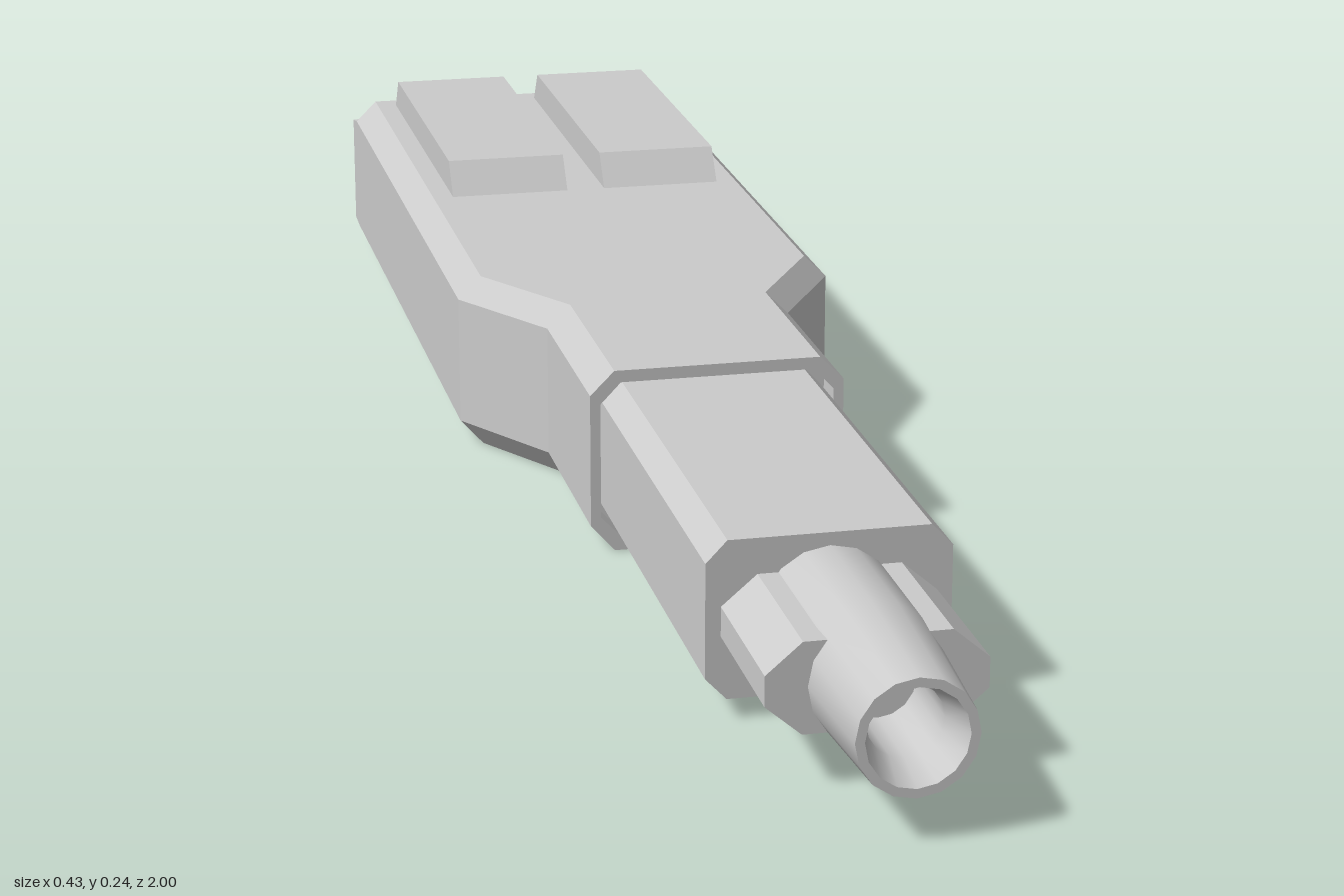
import * as THREE from 'three';
import { toCreasedNormals } from 'three/addons/utils/BufferGeometryUtils.js';

const flat = new THREE.MeshStandardMaterial({ color: 0xcccccc, flatShading: true });
const smooth = new THREE.MeshStandardMaterial({ color: 0xcccccc });

// Chamfered rectangle, counter-clockwise seen from the front
function section(z, w, y0, y1, cx, cy0, cy1 = cy0) {
  return [
    [w, y0 + cy0], [w, y1 - cy1], [w - cx, y1], [cx - w, y1],
    [-w, y1 - cy1], [-w, y0 + cy0], [cx - w, y0], [w - cx, y0],
  ].map(([x, y]) => new THREE.Vector3(x, y, z));
}

// Skin a run of sections from back to front and cap both ends
function loft(sections) {
  const tris = [];
  const n = sections[0].length;
  for (let s = 0; s + 1 < sections.length; s++) {
    const a = sections[s], b = sections[s + 1];
    for (let i = 0; i < n; i++) {
      const j = (i + 1) % n;
      tris.push(a[i], a[j], b[j], a[i], b[j], b[i]);
    }
  }
  const first = sections[0], last = sections[sections.length - 1];
  for (let i = 1; i + 1 < n; i++) {
    tris.push(first[0], first[i + 1], first[i], last[0], last[i], last[i + 1]);
  }
  const geometry = new THREE.BufferGeometry().setFromPoints(tris);
  geometry.computeVertexNormals();
  return geometry;
}

export function createModel() {
  const model = new THREE.Group();
  model.name = 'connector';
  const add = (name, geometry, material = flat) => {
    const mesh = new THREE.Mesh(geometry, material);
    mesh.name = name;
    model.add(mesh);
    return mesh;
  };

  // Grip body: bevelled back, narrowing neck, shallow recess in the front
  add('gripBody', loft([
    section(-1, 0.215, 0.03, 0.17, 0.025, 0.002),
    section(-0.967, 0.215, 0, 0.2, 0.026, 0.029, 0.026),
    section(-0.13, 0.215, 0, 0.2, 0.026, 0.029, 0.026),
    section(0, 0.137, 0, 0.2, 0.026, 0.029, 0.026),
    section(0.24, 0.137, 0, 0.2, 0.026, 0.029, 0.026),
    section(0.24, 0.126, 0.015, 0.187, 0.022, 0.023),
    section(0.2, 0.126, 0.015, 0.187, 0.022, 0.023),
  ]));

  // Sleeve standing in the recess
  add('sleeve', loft([
    section(0.19, 0.12, 0.021, 0.181, 0.021, 0.022),
    section(0.7, 0.12, 0.021, 0.181, 0.021, 0.022),
  ]));

  // Side keys flanking the tip
  add('sideKeys', loft([
    section(0.69, 0.105, 0.055, 0.145, 0.035, 0.03),
    section(0.87, 0.105, 0.055, 0.145, 0.035, 0.03),
  ]));

  // Hollow tapered tip
  const tipProfile = [
    [0.067, 0.69], [0.067, 0.84], [0.057, 1], [0.048, 1],
    [0.036, 0.96], [0.036, 0.85], [0, 0.85],
  ].map(([r, z]) => new THREE.Vector2(r, z));
  const tip = new THREE.LatheGeometry(tipProfile, 16);
  tip.rotateX(Math.PI / 2);
  tip.translate(0, 0.101, 0);
  add('tip', toCreasedNormals(tip, 0.5), smooth);

  // Raised pads on top, sloped at both ends
  const padShape = new THREE.Shape([
    [-0.945, 0.195], [-0.465, 0.195], [-0.497, 0.238], [-0.915, 0.238],
  ].map(([z, y]) => new THREE.Vector2(-z, y)).reverse());
  for (const side of [-1, 1]) {
    const pad = new THREE.ExtrudeGeometry(padShape, { depth: 0.142, bevelEnabled: false });
    pad.translate(0, 0, -0.071);
    pad.rotateY(Math.PI / 2);
    pad.translate(side * 0.094, 0, 0);
    add(side > 0 ? 'leftPad' : 'rightPad', pad);
  }
  return model;
}
